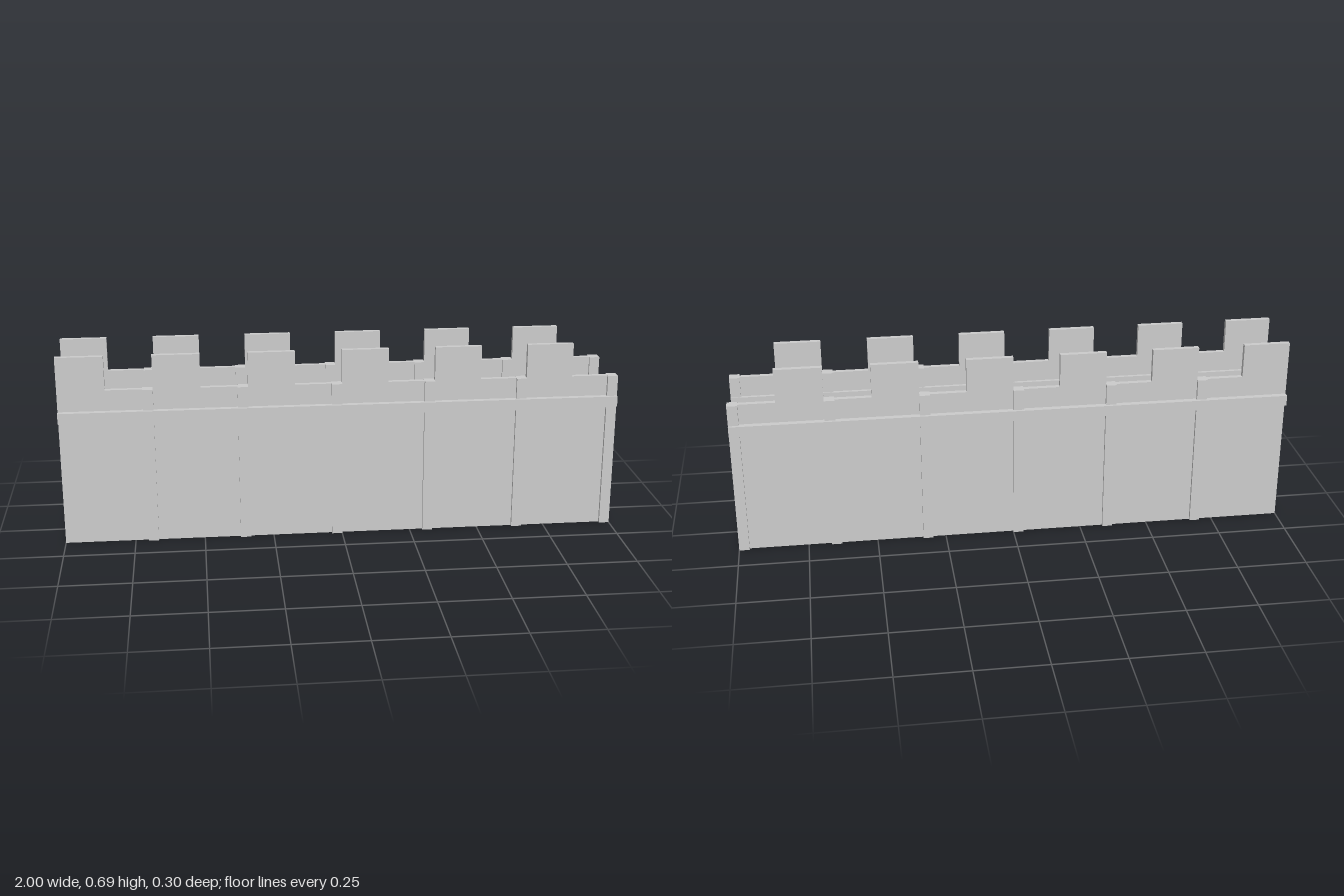
import * as THREE from 'three';

const grey = new THREE.MeshStandardMaterial({ color: 0xcccccc, flatShading: true });
const shellGrey = new THREE.MeshStandardMaterial({ color: 0xcccccc, flatShading: true, side: THREE.DoubleSide });

const WALL_OUT = 0.131, WALL_IN = 0.113; // parapet faces
const FLOOR = 0.475, CREST = 0.57, TOP = 0.692;
const BAYS = 6, STEP = 2 / BAYS;

// Box given by its minimum and maximum on each axis
function slab(name, x0, x1, y0, y1, z0, z1) {
  const mesh = new THREE.Mesh(new THREE.BoxGeometry(x1 - x0, y1 - y0, z1 - z0), grey);
  mesh.position.set((x0 + x1) / 2, (y0 + y1) / 2, (z0 + z1) / 2);
  mesh.name = name;
  return mesh;
}

// Hollow wall: a U-topped section run along x, with the underside left open
function wallShell() {
  const half = [[WALL_OUT, 0], [WALL_OUT, CREST], [WALL_IN, CREST], [WALL_IN, FLOOR]];
  const mirrored = half.map(([z, y]) => [-z, y]).reverse();
  const section = new THREE.Shape([...half, ...mirrored].map(([z, y]) => new THREE.Vector2(z, y)));
  const solid = new THREE.ExtrudeGeometry(section, { depth: 2, bevelEnabled: false });
  solid.rotateY(Math.PI / 2).translate(-1, 0, 0);

  const p = solid.toNonIndexed().attributes.position;
  const kept = [];
  for (let i = 0; i < p.count; i += 3) {
    const onGround = [0, 1, 2].every((k) => Math.abs(p.getY(i + k)) < 1e-6);
    if (!onGround) kept.push(...p.array.slice(i * 3, i * 3 + 9));
  }
  const geometry = new THREE.BufferGeometry();
  geometry.setAttribute('position', new THREE.Float32BufferAttribute(kept, 3));
  geometry.computeVertexNormals();
  const mesh = new THREE.Mesh(geometry, shellGrey);
  mesh.name = 'wallShell';
  return mesh;
}

// Parapet trim for one side: string course, merlons and pilasters
function parapet(side) {
  const group = new THREE.Group();
  group.name = side > 0 ? 'frontParapet' : 'backParapet';
  const add = (name, x0, x1, y0, y1, zIn, zOut) =>
    group.add(slab(name, x0, x1, y0, y1, Math.min(side * zIn, side * zOut), Math.max(side * zIn, side * zOut)));

  add('stringCourse', -1, 1, 0.457, 0.495, 0.101, 0.152);
  for (let i = 0; i < BAYS; i++) {
    const x = -1 + i * STEP;
    add('merlon', x, x + STEP / 2, CREST, TOP, WALL_IN, WALL_OUT);
    add('pilaster', x + STEP - 0.037, x + STEP, 0, CREST, 0.105, 0.142);
  }
  return group;
}

export function createModel() {
  const model = new THREE.Group();
  model.name = 'battlementWall';
  model.add(wallShell(), parapet(1), parapet(-1));
  return model;
}
